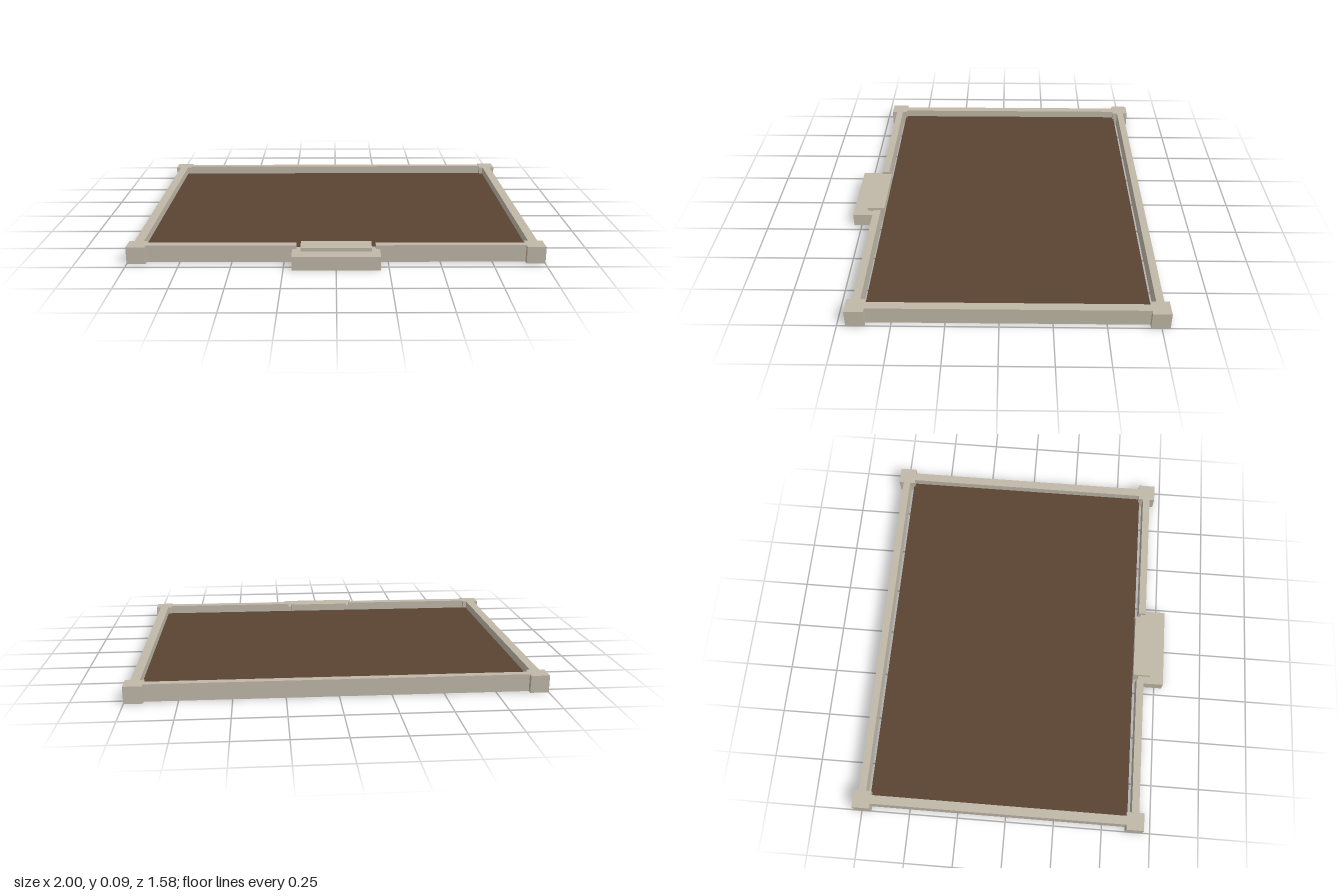
import * as THREE from 'three';

export function createModel() {
  const group = new THREE.Group();
  const stone = new THREE.MeshStandardMaterial({ color: 0xc0b8a8 });
  stone.name = 'pale stone';
  const soil = new THREE.MeshStandardMaterial({ color: 0x5a4433 });
  soil.name = 'brown floor';

  // Box given by its extents on each axis
  function block(name, material, [x0, x1], [y0, y1], [z0, z1]) {
    const geometry = new THREE.BoxGeometry(x1 - x0, y1 - y0, z1 - z0);
    const mesh = new THREE.Mesh(geometry, material);
    mesh.position.set((x0 + x1) / 2, (y0 + y1) / 2, (z0 + z1) / 2);
    mesh.name = name;
    group.add(mesh);
  }
  // Extents mirrored to either side of x = 0
  const mirror = (side, a, b) => (side > 0 ? [a, b] : [-b, -a]);

  const H = 0.085;

  // Floor slab, with a narrow gap to the front and back walls
  block('floor', soil, [-0.93, 0.93], [0, 0.045], [-0.707, 0.627]);

  // Back wall
  block('backWall', stone, [-0.91, 0.91], [0, H], [-0.765, -0.727]);

  for (const side of [1, -1]) {
    const label = side > 0 ? 'left' : 'right';
    // Corner posts
    block(label + 'BackPost', stone, mirror(side, 0.91, 1), [0, H], [-0.79, -0.70]);
    block(label + 'FrontPost', stone, mirror(side, 0.91, 1), [0, H], [0.62, 0.71]);
    // Side walls
    block(label + 'Wall', stone, mirror(side, 0.93, 0.975), [0, H], [-0.70, 0.62]);
    // Front wall halves, leaving the entrance open
    block(label + 'FrontWall', stone, mirror(side, 0.19, 0.91), [0, H], [0.645, 0.683]);
  }

  // Entrance: raised threshold and lower front step
  block('threshold', stone, [-0.17, 0.17], [0, H], [0.627, 0.717]);
  block('frontStep', stone, [-0.21, 0.21], [0, 0.067], [0.655, 0.79]);

  return group;
}
